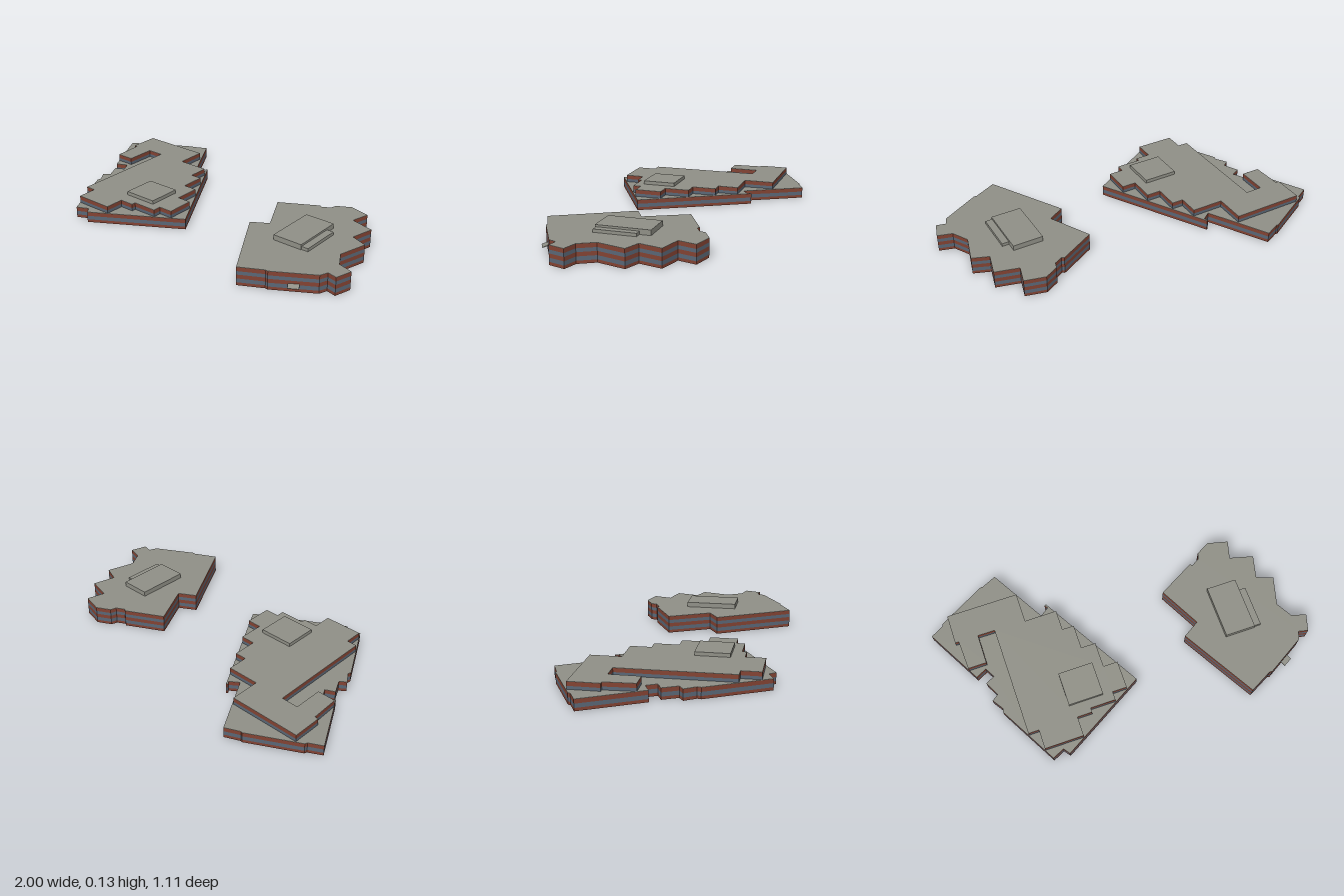
import * as THREE from 'three';
import { mergeGeometries } from 'three/addons/utils/BufferGeometryUtils.js';

const material = (name, color) =>
  Object.assign(new THREE.MeshStandardMaterial({ color, side: THREE.DoubleSide }), { name });
const brick = material('brick', 0x824232);
const glass = material('windowBand', 0x596675);
const roofGrey = material('roofGrey', 0x8f8f86);

// Plans are [x, z] corners, ordered counter-clockwise seen from above
const ccw = (plan) => {
  const pts = plan.map(([x, z]) => new THREE.Vector2(x, -z));
  return THREE.ShapeUtils.area(pts) < 0 ? plan.slice().reverse() : plan;
};

const westGroundPlan = ccw([
  [-1, -0.325], [-0.93, -0.363], [-0.925, -0.377], [-0.66, -0.522], [-0.65, -0.52], [-0.57, -0.557],
  [-0.39, -0.243], [-0.342, -0.277], [-0.355, -0.295], [-0.345, -0.3], [-0.01, 0.28],
  [-0.48, 0.552], [-0.505, 0.517], [-0.57, 0.547], [-0.75, 0.22], [-0.745, 0.2], [-0.785, 0.14],
  [-0.75, 0.115], [-0.79, 0.035], [-0.74, 0.01], [-0.77, -0.045], [-0.83, -0.015],
]);

const westUpperPlan = ccw([
  [-0.885, -0.395], [-0.485, -0.395], [-0.485, -0.227], [-0.305, -0.227], [-0.305, -0.112],
  [-0.24, -0.112], [-0.24, 0.024], [-0.16, 0.024], [-0.16, 0.165], [-0.08, 0.165], [-0.08, 0.317],
  [-0.16, 0.317], [-0.16, 0.363], [-0.3, 0.363], [-0.3, 0.387], [-0.382, 0.387], [-0.382, 0.493],
  [-0.597, 0.493], [-0.597, 0.387], [-0.655, 0.387], [-0.66, -0.23], [-0.755, -0.23],
  [-0.755, -0.065], [-0.857, -0.065], [-0.865, -0.23], [-0.885, -0.23],
]);

const eastPlan = ccw([
  [0.294, -0.136], [0.497, -0.247], [0.51, -0.238], [0.555, -0.263], [0.565, -0.297], [0.64, -0.338],
  [0.753, -0.31], [0.726, -0.21], [0.855, -0.176], [0.823, -0.05], [0.913, -0.016], [0.87, 0.14],
  [0.919, 0.227], [0.999, 0.25], [0.972, 0.34], [0.92, 0.328], [0.903, 0.372], [0.694, 0.494],
  [0.68, 0.492], [0.555, 0.557], [0.32, 0.147], [0.411, 0.093],
]);

// Plan moved inward by a wall thickness, with mitred corners
function inset(plan, d) {
  const n = plan.length;
  const normal = ([ax, az], [bx, bz]) => {
    const length = Math.hypot(bx - ax, bz - az);
    return [(bz - az) / length, (ax - bx) / length];
  };
  return plan.map((p, i) => {
    const [ux, uz] = normal(plan[(i + n - 1) % n], p);
    const [vx, vz] = normal(p, plan[(i + 1) % n]);
    const k = d / (1 + ux * vx + uz * vz);
    return [p[0] + (ux + vx) * k, p[1] + (uz + vz) * k];
  });
}

// Vertical strip of wall following a plan; inward turns the faces inside
function strip(plan, y0, y1, inward = false) {
  const pts = inward ? plan.slice().reverse() : plan;
  const positions = [];
  pts.forEach(([ax, az], i) => {
    const [bx, bz] = pts[(i + 1) % pts.length];
    positions.push(ax, y0, az, bx, y0, bz, bx, y1, bz, ax, y0, az, bx, y1, bz, ax, y1, az);
  });
  const geometry = new THREE.BufferGeometry();
  geometry.setAttribute('position', new THREE.Float32BufferAttribute(positions, 3));
  geometry.computeVertexNormals();
  return geometry;
}

function add(parent, name, geometry, mat) {
  const mesh = new THREE.Mesh(geometry, mat);
  mesh.name = name;
  parent.add(mesh);
  return mesh;
}

// Brick walls with horizontal window bands
const levels = [0, 0.016, 0.037, 0.058, 0.077, 0.1];
function bandedWalls(parent, name, plan, top) {
  const sets = [[], []];
  for (let i = 0; i < 5 && levels[i] < top - 0.003; i++) {
    const y1 = levels[i + 1] >= top - 0.003 ? top : levels[i + 1];
    sets[i % 2].push(strip(plan, levels[i], y1));
  }
  add(parent, name + 'Brick', mergeGeometries(sets[0]), brick);
  add(parent, name + 'Windows', mergeGeometries(sets[1]), glass);
}

// Plain brick lining behind a banded wall
const lining = (parent, name, plan, top) =>
  add(parent, name, strip(inset(plan, 0.002), 0, top, true), brick);

// Flat roof slab, optionally with an opening
function roof(parent, name, plan, top, opening) {
  const to2D = (p) => p.map(([x, z]) => new THREE.Vector2(x, -z));
  const shape = new THREE.Shape(to2D(plan));
  if (opening) shape.holes.push(new THREE.Path(to2D(opening)));
  const geometry = new THREE.ExtrudeGeometry(shape, { depth: 0.002, bevelEnabled: false });
  geometry.rotateX(-Math.PI / 2).translate(0, top - 0.002, 0);
  add(parent, name, geometry, roofGrey);
}

function block(parent, name, x0, x1, z0, z1, y0, y1) {
  const geometry = new THREE.BoxGeometry(x1 - x0, y1 - y0, z1 - z0);
  add(parent, name, geometry, roofGrey).position.set((x0 + x1) / 2, (y0 + y1) / 2, (z0 + z1) / 2);
}

export function createModel() {
  const model = new THREE.Group();
  model.name = 'buildingPair';

  // West building: angled ground floor with a stepped block through it
  const west = new THREE.Group();
  west.name = 'westBuilding';
  bandedWalls(west, 'groundFloor', westGroundPlan, 0.058);
  lining(west, 'groundFloorInside', westGroundPlan, 0.058);
  roof(west, 'groundFloorRoof', westGroundPlan, 0.06, westUpperPlan);
  bandedWalls(west, 'upperFloor', westUpperPlan, 0.098);
  roof(west, 'upperFloorRoof', westUpperPlan, 0.1);
  block(west, 'roofHouse', -0.405, -0.213, 0.13, 0.315, 0.1, 0.12);

  // East building: one volume with two window bands
  const east = new THREE.Group();
  east.name = 'eastBuilding';
  bandedWalls(east, 'wall', eastPlan, 0.098);
  lining(east, 'wallInside', eastPlan, 0.098);
  roof(east, 'mainRoof', eastPlan, 0.1);
  block(east, 'roofHouse', 0.53, 0.697, -0.065, 0.227, 0.1, 0.128);
  block(east, 'roofHouseStep', 0.697, 0.735, -0.005, 0.222, 0.1, 0.117);

  // Sloping entrance canopy
  const canopy = add(east, 'entranceCanopy', new THREE.BoxGeometry(0.055, 0.003, 0.036), roofGrey);
  canopy.position.set(0.806, 0.037, 0.442);
  canopy.rotation.set(0.35, Math.PI / 6, 0, 'YXZ');

  model.add(west, east);
  return model;
}
